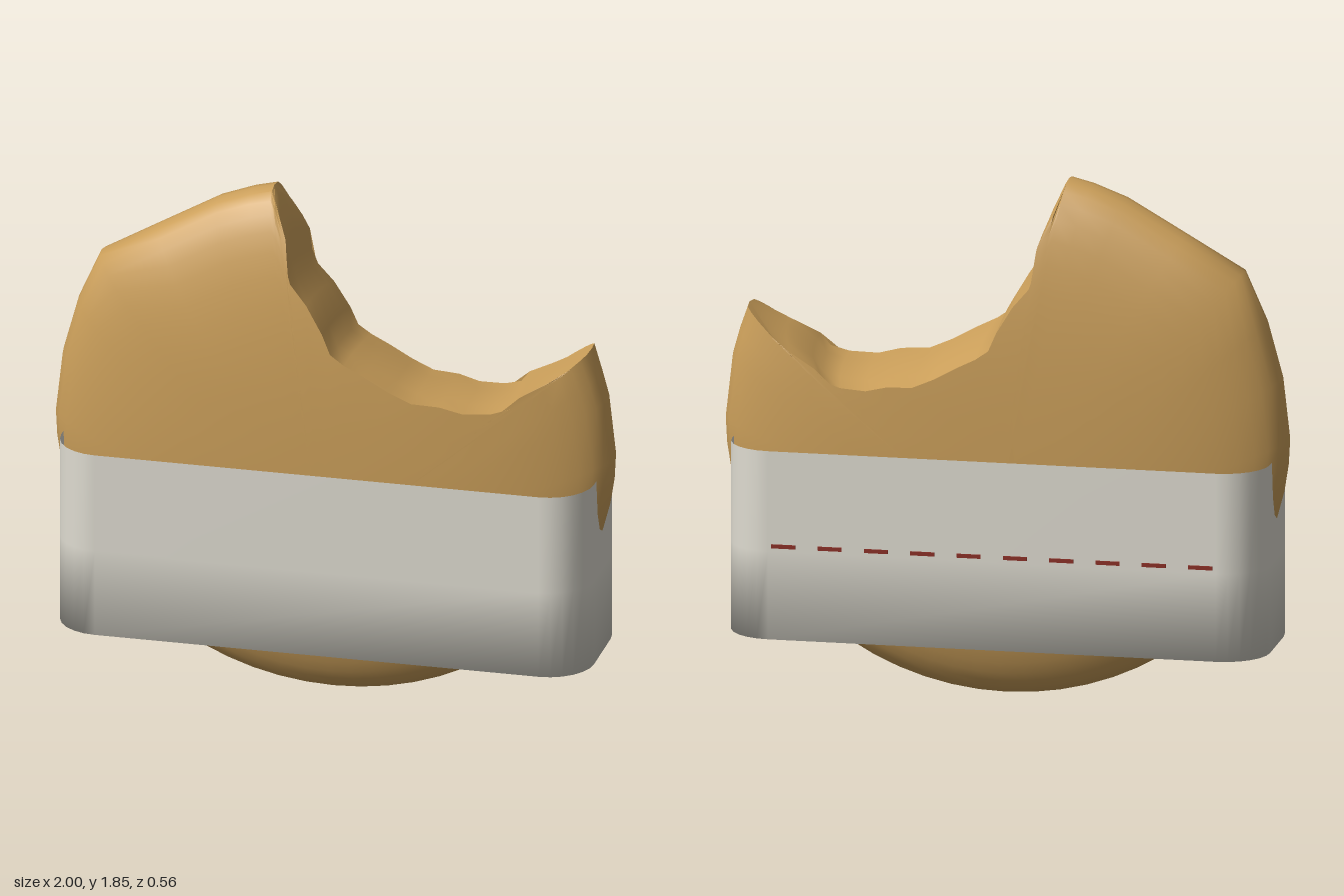
import * as THREE from 'three';
import { toCreasedNormals } from 'three/addons/utils/BufferGeometryUtils.js';

const bread = new THREE.MeshStandardMaterial({ name: 'toasted bread', color: 0xcb9f5a });
const paper = new THREE.MeshStandardMaterial({ name: 'wrapper paper', color: 0xdfdcd1, side: THREE.DoubleSide });
const red = new THREE.MeshStandardMaterial({ name: 'red stitching', color: 0x8c2f25 });

const MID_Y = 0.95;
const HALF_DEPTH = 0.217;

// Left half of the unbitten outline, from the top down to the bottom
const leftSide = [[-0.22, 1.855], [-0.3, 1.835], [-0.42, 1.79], [-0.63, 1.67], [-0.84, 1.55], [-0.92, 1.37], [-0.975, 1.17]];
for (let i = 0; i <= 16; i++) {
  const a = Math.PI * (1 + i / 32);
  leftSide.push([Math.cos(a), MID_Y + 0.947 * Math.sin(a)]);
}
// Edge of the bite, from right to left
const bite = [[0.87, 1.31], [0.8, 1.265], [0.7, 1.21], [0.665, 1.165], [0.6, 1.145], [0.5, 1.14], [0.42, 1.16],
  [0.32, 1.165], [0.24, 1.2], [0.15, 1.25], [0.08, 1.285], [0.03, 1.32], [0, 1.39], [-0.06, 1.49],
  [-0.12, 1.56], [-0.14, 1.62], [-0.145, 1.71], [-0.17, 1.77], [-0.2, 1.83]];
const rightSide = leftSide.slice(6, -1).reverse().map(([x, y]) => [-x, y]);
const outline = [...rightSide, [0.95, 1.26], [0.918, 1.352], ...bite, ...leftSide];
const biteStart = rightSide.length + 2;

// How far a point lies towards the unbitten rim: 0 in the middle, 1 on the rim
function rimFraction(x, y) {
  let f = 0;
  const px = -Math.abs(x), py = y - MID_Y;
  for (let i = -1; i < leftSide.length - 1; i++) {
    const [ax, ay] = i < 0 ? [0, 1.86] : leftSide[i];
    const [bx, by] = leftSide[i + 1];
    const nx = ay - by, ny = bx - ax;
    f = Math.max(f, (nx * px + ny * py) / (nx * ax + ny * (ay - MID_Y)));
  }
  return Math.min(f, 1);
}
const halfDepth = (x, y) => HALF_DEPTH * Math.pow(1 - Math.pow(rimFraction(x, y), 2.5), 0.4);

// Domed slice: each outline point gets a strip running front centre, rim, back centre
function sliceGeometry() {
  const RINGS = 14, WALL = 4, cx = 0, cy = 0.6;
  const pos = [], index = [];
  const cols = outline.length, rows = 2 * (RINGS + 1) + WALL - 1;
  outline.forEach(([ox, oy], k) => {
    const bitten = k >= biteStart && k < biteStart + bite.length;
    const at = (t) => [cx + (ox - cx) * t, cy + (oy - cy) * t];
    const backScale = bitten ? 0.93 : 1;
    const rimZ = (s) => (bitten ? halfDepth(...at(s)) : 0);
    const face = (scale, sign, j) => {
      const p = at(scale * Math.sin((j / RINGS) * Math.PI / 2));
      pos.push(...p, sign * (j === RINGS ? rimZ(scale) : halfDepth(...p)));
    };
    for (let j = 0; j <= RINGS; j++) face(1, 1, j);
    // bitten wall, sloping down a little to the back
    for (let w = 1; w < WALL; w++) {
      const u = w / WALL;
      const s = 1 + (backScale - 1) * u * u;
      pos.push(...at(s), rimZ(1) * (1 - u) - rimZ(backScale) * u);
    }
    for (let j = RINGS; j >= 0; j--) face(backScale, -1, j);
  });
  for (let i = 0; i < cols; i++) {
    const a0 = i * rows, b0 = ((i + 1) % cols) * rows;
    for (let j = 0; j < rows - 1; j++) {
      index.push(a0 + j, a0 + j + 1, b0 + j + 1, a0 + j, b0 + j + 1, b0 + j);
    }
  }
  const g = new THREE.BufferGeometry();
  g.setAttribute('position', new THREE.Float32BufferAttribute(pos, 3));
  g.setIndex(index);
  return toCreasedNormals(g, 0.75);
}

// Open-topped paper sleeve with rounded corners, softly shaded into its base
function sleeveGeometry() {
  const hx = 0.955, hz = 0.28, r = 0.16, SEG = 6;
  const plan = [];
  for (let c = 0; c < 4; c++) {
    const sx = c === 0 || c === 3 ? 1 : -1, sz = c < 2 ? 1 : -1;
    for (let i = 0; i <= SEG; i++) {
      const a = (c + i / SEG) * Math.PI / 2;
      plan.push([sx * (hx - r) + r * Math.cos(a), sz * (hz - r) + r * Math.sin(a)]);
    }
  }
  const levels = [0.89, 0.53, 0.215], n = plan.length;
  const pos = [], index = [];
  for (const y of levels) for (const [x, z] of plan) pos.push(x, y, z);
  pos.push(0, 0.215, 0);
  for (let i = 0; i < n; i++) {
    const k = (i + 1) % n;
    for (let l = 0; l < levels.length - 1; l++) {
      const a = l * n, b = a + n;
      index.push(a + i, a + k, b + k, a + i, b + k, b + i);
    }
    index.push(2 * n + i, 2 * n + k, 3 * n);
  }
  const g = new THREE.BufferGeometry();
  g.setAttribute('position', new THREE.Float32BufferAttribute(pos, 3));
  g.setIndex(index);
  g.computeVertexNormals();
  return g;
}

export function createModel() {
  const model = new THREE.Group();
  model.name = 'bittenSandwich';

  const add = (name, geometry, material, parent = model) => {
    const mesh = new THREE.Mesh(geometry, material);
    mesh.name = name;
    parent.add(mesh);
    return mesh;
  };

  add('bittenBread', sliceGeometry(), bread);
  add('paperSleeve', sleeveGeometry(), paper);

  // Dashed line across the back of the sleeve
  const dashes = new THREE.Group();
  dashes.name = 'dashedLine';
  model.add(dashes);
  const dash = new THREE.BoxGeometry(0.085, 0.014, 0.006);
  for (let i = 0; i < 10; i++) {
    add('dash', dash, red, dashes).position.set(-0.74 + i * 0.1645, 0.55, -0.281);
  }
  return model;
}
